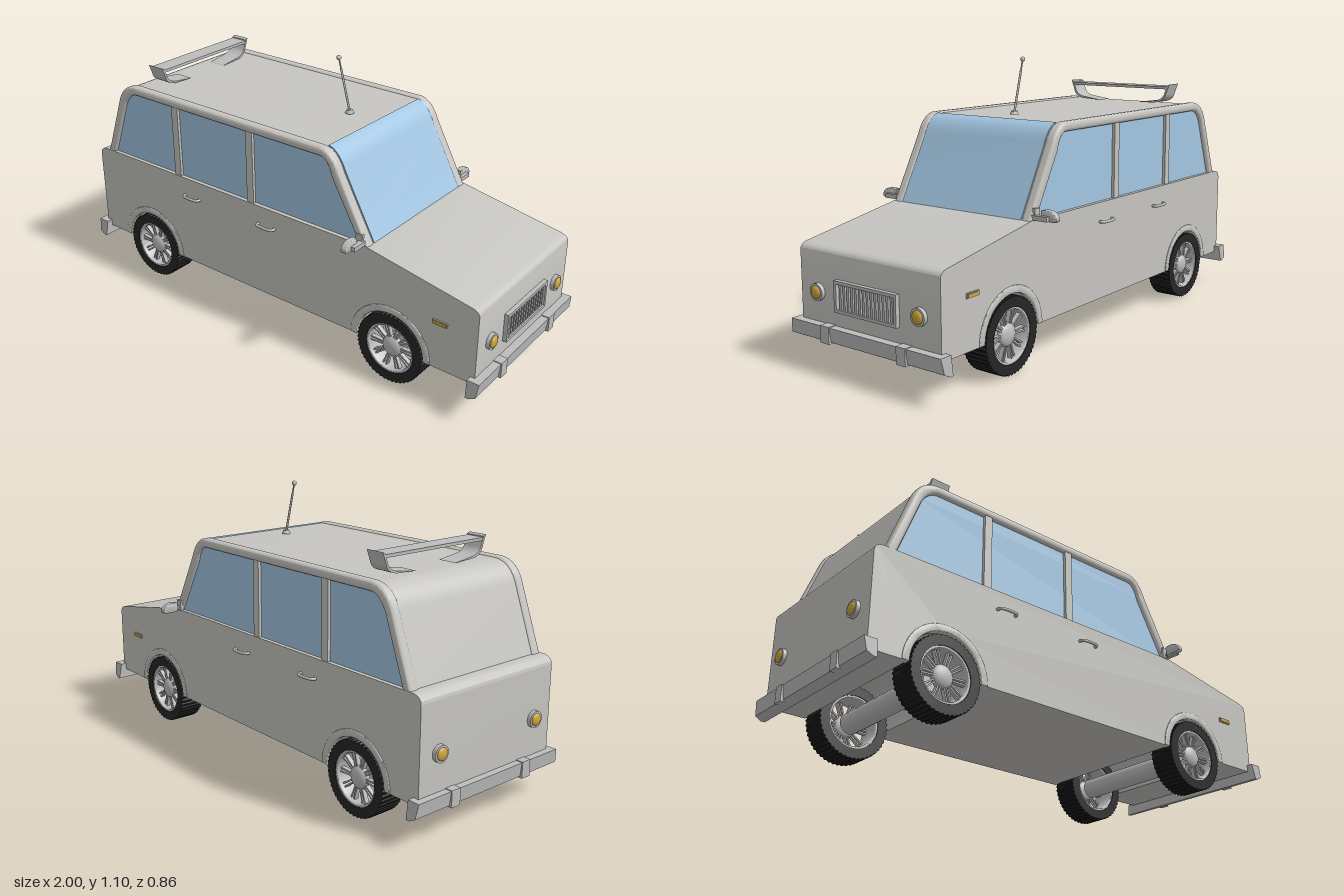
import * as THREE from 'three';
import { toCreasedNormals } from 'three/addons/utils/BufferGeometryUtils.js';

const mat = (name, color) => {
  const m = new THREE.MeshStandardMaterial({ color });
  m.name = name;
  return m;
};

export function createModel() {
  const body = mat('bodyGrey', 0xc6c5c1);
  const metal = mat('metalGrey', 0xbdbdbd);
  const glass = mat('glassBlue', 0xa3c6e2);
  const rubber = mat('tyreBlack', 0x262626);
  const amber = mat('lampAmber', 0xd0a63a);

  const car = new THREE.Group();
  car.name = 'car';
  const SIDES = [-1, 1];
  const WHEEL_X = [-0.66, 0.6], WHEEL_Y = 0.145;

  const add = (name, geo, material, x = 0, y = 0, z = 0, parent = car) => {
    const m = new THREE.Mesh(geo, material);
    m.name = name;
    m.position.set(x, y, z);
    parent.add(m);
    return m;
  };
  const box = (w, h, d) => new THREE.BoxGeometry(w, h, d);
  const poly = pts => new THREE.Shape(pts.map(p => (p.isVector2 ? p : new THREE.Vector2(...p))));
  // Side-profile shape extruded along z, centred on z = 0
  const slab = (shape, depth, bevel = 0) => {
    const g = new THREE.ExtrudeGeometry(shape, {
      depth: depth - 2 * bevel, curveSegments: 20, bevelEnabled: bevel > 0,
      bevelThickness: bevel, bevelSize: bevel, bevelOffset: -bevel, bevelSegments: 4,
    });
    g.translate(0, 0, bevel - depth / 2);
    return toCreasedNormals(g, 0.6);
  };
  const ring = (outer, inner) => {
    const s = new THREE.Shape().absarc(0, 0, outer, 0, Math.PI * 2);
    s.holes.push(new THREE.Path().absarc(0, 0, inner, 0, Math.PI * 2, true));
    return s;
  };

  // Lower body with wheel arches cut right across
  const lower = new THREE.Shape();
  lower.moveTo(0.965, 0.15);
  lower.lineTo(0.965, 0.43);
  lower.quadraticCurveTo(0.965, 0.452, 0.935, 0.459);
  lower.lineTo(0.48, 0.54);
  lower.lineTo(-0.935, 0.54);
  lower.quadraticCurveTo(-0.97, 0.535, -0.97, 0.505);
  lower.lineTo(-0.97, 0.15);
  for (const x of WHEEL_X) lower.absarc(x, 0.15, 0.155, Math.PI, 0, true);
  add('lowerBody', slab(lower, 0.68), body);

  // Cabin outline, shrunk by d
  const cabin = d => {
    const p = new THREE.Path();
    p.moveTo(-0.925 + 1.1 * d, 0.52);
    p.lineTo(-0.825 + d, 0.79 - 0.3 * d);
    p.quadraticCurveTo(-0.795 + d, 0.875 - d, -0.71, 0.875 - d);
    p.lineTo(0.26, 0.875 - d);
    p.quadraticCurveTo(0.32 - 0.5 * d, 0.875 - d, 0.355 - d, 0.79 - 0.5 * d);
    p.lineTo(0.5 - 1.1 * d, 0.52);
    return p.getPoints(14);
  };
  const band = (a, b, keep = () => true) =>
    poly([...cabin(a).filter(keep), ...cabin(b).filter(keep).reverse()]);

  // Cabin core: its flat ends are the side windows
  add('cabin', slab(poly(cabin(0.006)), 0.646), [glass, body]);
  add('windscreen', slab(band(0.001, 0.009, p => p.x > 0.275), 0.59), glass);
  for (const s of SIDES) {
    add('windowFrame', slab(band(0, 0.037), 0.044, 0.014), body, 0, 0, s * 0.317);
    for (const x of [-0.487, -0.083])
      add('doorPillar', box(0.034, 0.325, 0.03), body, x, 0.69, s * 0.32);
  }

  // Toothed tyre outline
  const TEETH = 48, teeth = [];
  for (let i = 0; i < TEETH * 4; i++) {
    const a = (i / (TEETH * 4)) * Math.PI * 2, r = i % 4 < 2 ? 0.145 : 0.141;
    teeth.push([Math.cos(a) * r, Math.sin(a) * r]);
  }
  const tyreShape = poly(teeth);
  tyreShape.holes.push(new THREE.Path().absarc(0, 0, 0.104, 0, Math.PI * 2, true));
  const tyreGeo = slab(tyreShape, 0.106);
  const rimGeo = slab(ring(0.107, 0.095), 0.1, 0.004);
  const hubGeo = new THREE.SphereGeometry(0.045, 24, 16).scale(1, 1, 0.5);
  const lip = new THREE.Shape();
  lip.absarc(0, 0, 0.178, 0, Math.PI, false);
  lip.absarc(0, 0, 0.149, Math.PI, 0, true);
  const lipGeo = slab(lip, 0.03, 0.004);

  for (const x of WHEEL_X) {
    add('axle', new THREE.CylinderGeometry(0.042, 0.042, 0.54, 24).rotateX(Math.PI / 2), metal, x, WHEEL_Y, 0);
    for (const s of SIDES) {
      add('archLip', lipGeo, body, x, 0.15, s * 0.329);
      const wheel = new THREE.Group();
      wheel.name = 'wheel';
      wheel.position.set(x, WHEEL_Y, s * 0.289);
      car.add(wheel);
      add('tyre', tyreGeo, rubber, 0, 0, 0, wheel);
      add('rim', rimGeo, metal, 0, 0, 0, wheel);
      add('hub', hubGeo, metal, 0, 0, s * 0.025, wheel);
      for (let i = 0; i < 10; i++) {
        const a = (i / 10) * Math.PI * 2;
        for (const t of SIDES) {
          const spoke = add('spoke', box(0.068, 0.006, 0.018), metal,
            Math.cos(a + t * 0.09) * 0.066, Math.sin(a + t * 0.09) * 0.066, s * 0.025, wheel);
          spoke.rotation.z = a + t * 0.04;
        }
      }
    }
  }

  // Bumpers, wider at the foot, with overriders
  const bumperGeo = slab(poly([[0.95, 0.11], [0.965, 0.11], [0.99, 0.123], [0.997, 0.178], [0.947, 0.178]]), 0.73);
  const bp = bumperGeo.attributes.position;
  for (let i = 0; i < bp.count; i++) bp.setZ(i, bp.getZ(i) * (1 + (0.178 - bp.getY(i)) * 0.45));
  for (const end of SIDES) {
    const bumper = new THREE.Group();
    bumper.name = end > 0 ? 'frontBumper' : 'rearBumper';
    bumper.rotation.y = end > 0 ? 0 : Math.PI;
    car.add(bumper);
    add('bumperBar', bumperGeo, metal, 0, 0, 0, bumper);
    for (const s of SIDES) add('overrider', box(0.04, 0.064, 0.043), metal, 0.98, 0.149, s * 0.187, bumper);
  }

  // Round lamps at both ends, and side indicators
  const disc = (r, d) => new THREE.CylinderGeometry(r, r, d, 32).rotateZ(Math.PI / 2);
  for (const s of SIDES) {
    for (const [x, y, e] of [[0.965, 0.29, 1], [-0.97, 0.32, -1]]) {
      add('lampRing', disc(0.032, 0.03), metal, x, y, s * 0.248);
      add('lampLens', new THREE.SphereGeometry(0.024, 24, 12).scale(0.4, 1, 1), amber, x + e * 0.015, y, s * 0.248);
    }
    add('indicatorBase', box(0.062, 0.018, 0.01), metal, 0.812, 0.347, s * 0.341);
    add('indicator', box(0.054, 0.012, 0.009), amber, 0.812, 0.347, s * 0.344);
  }

  // Grille: frame and upright slats
  for (const s of SIDES) {
    add('grilleRail', box(0.024, 0.012, 0.304), metal, 0.97, 0.292 + s * 0.052, 0);
    add('grilleSide', box(0.024, 0.116, 0.012), metal, 0.97, 0.292, s * 0.146);
  }
  for (let i = 0; i < 14; i++)
    add('grilleSlat', box(0.016, 0.092, 0.011), metal, 0.968, 0.292, -0.125 + i * 0.01923);

  // Door handles and mirrors
  const mirrorShape = new THREE.Shape();
  mirrorShape.moveTo(0, 0);
  mirrorShape.lineTo(0.06, 0);
  mirrorShape.quadraticCurveTo(0.072, 0.004, 0.07, 0.014);
  mirrorShape.bezierCurveTo(0.06, 0.045, 0.02, 0.045, 0, 0.038);
  mirrorShape.closePath();
  for (const s of SIDES) {
    for (const x of [-0.403, 0.003]) {
      const grip = new THREE.CatmullRomCurve3([[-0.042, 0.33], [-0.038, 0.355], [-0.02, 0.361],
        [0.02, 0.361], [0.038, 0.355], [0.042, 0.33]].map(([u, z]) => new THREE.Vector3(x + u, 0.463, s * z)));
      add('doorHandle', new THREE.TubeGeometry(grip, 24, 0.006, 8), metal);
    }
    const head = add('mirrorHead', slab(mirrorShape, 0.026, 0.005), metal, 0.448, 0.538, s * 0.362);
    head.rotation.y = -Math.PI / 2;
    if (s < 0) {
      head.rotation.y = Math.PI / 2;
    }
    add('mirrorStalk', box(0.022, 0.018, 0.07), metal, 0.466, 0.55, s * 0.365);
    add('mirrorFoot', box(0.03, 0.045, 0.014), metal, 0.455, 0.56, s * 0.338);
  }

  // Roof spoiler: two curved ends and a flat blade
  const fin = new THREE.Shape();
  fin.moveTo(0.1, 0.872);
  fin.lineTo(0.19, 0.876);
  fin.quadraticCurveTo(0.238, 0.88, 0.246, 0.915);
  fin.lineTo(0.262, 0.958);
  fin.lineTo(0.25, 0.952);
  fin.lineTo(0.237, 0.915);
  fin.quadraticCurveTo(0.228, 0.89, 0.19, 0.884);
  fin.closePath();
  const finGeo = slab(fin, 0.08);
  for (const s of SIDES) add('spoilerEnd', finGeo, metal, -0.66, 0, 0).rotation.y = s * Math.PI / 2;
  add('spoilerBlade', box(0.076, 0.012, 0.5), metal, -0.66, 0.942, 0);

  // Aerial leaning back from the roof
  const foot = new THREE.Vector3(0.15, 0.88, 0), tip = new THREE.Vector3(0.095, 1.088, 0);
  const rod = (a, b, r) => new THREE.TubeGeometry(new THREE.LineCurve3(a, b), 1, r, 10);
  add('aerialBase', new THREE.CylinderGeometry(0.012, 0.018, 0.014, 20), metal, 0.15, 0.88, 0);
  add('aerialLowerRod', rod(foot, foot.clone().lerp(tip, 0.8), 0.0045), metal);
  add('aerialUpperRod', rod(foot, tip, 0.003), metal);
  add('aerialTip', new THREE.SphereGeometry(0.01, 16, 12), metal, tip.x, tip.y, 0);

  return car;
}
